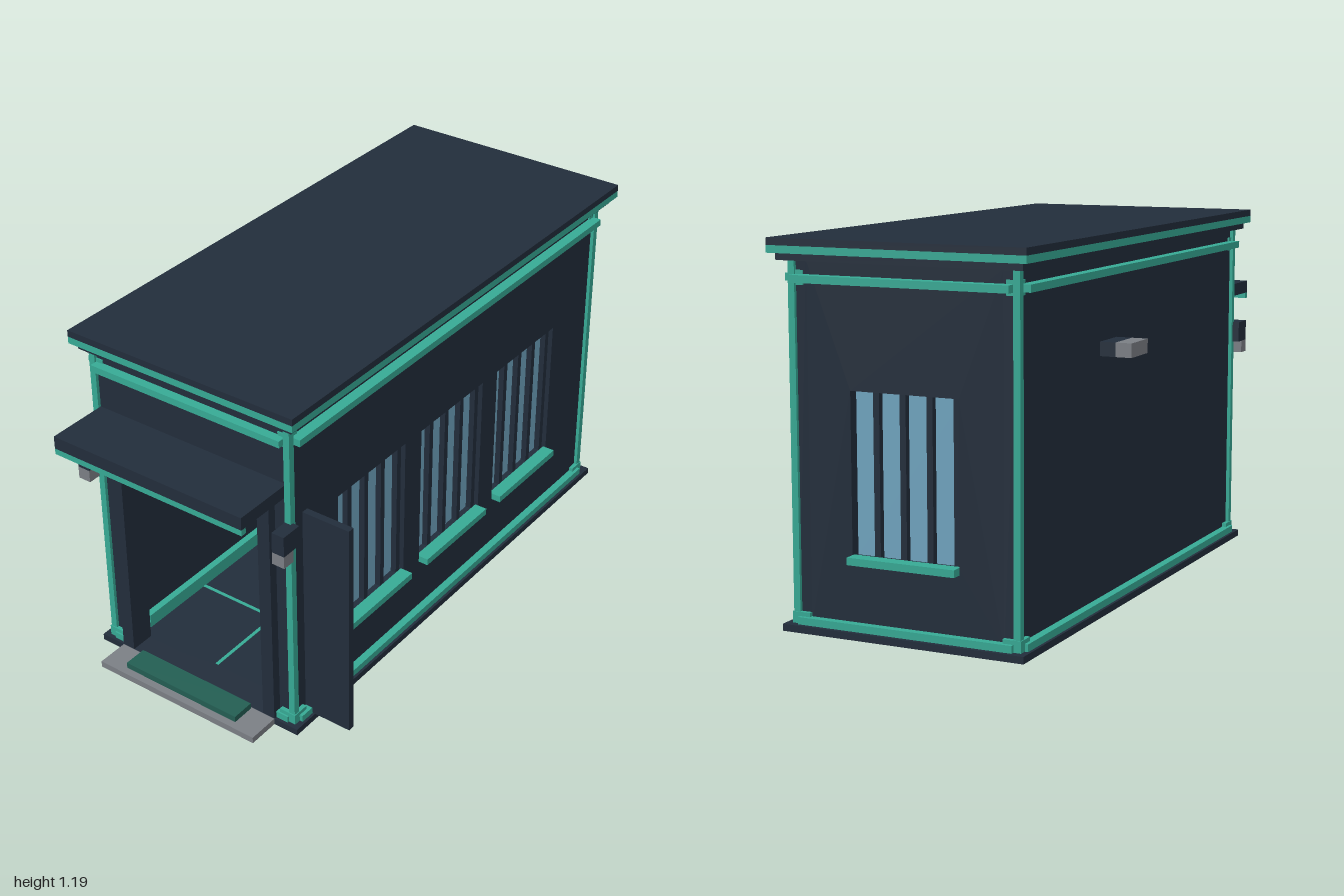
import * as THREE from 'three';

export function createModel() {
  const group = new THREE.Group();
  const mat = (name, color) => {
    const m = new THREE.MeshStandardMaterial({ color });
    m.name = name;
    return m;
  };
  const dark = mat('dark slate', 0x222d3b);
  const teal = mat('teal trim', 0x37aa95);
  const green = mat('mat green', 0x235e53);
  const grey = mat('grey', 0x7b7f85);
  const orange = mat('orange', 0xc87137);
  const blue = mat('window blue', 0x70a5c0);

  // box given by its extents
  const box = (name, m, x0, x1, y0, y1, z0, z1, parent = group) => {
    const mesh = new THREE.Mesh(new THREE.BoxGeometry(x1 - x0, y1 - y0, z1 - z0), m);
    mesh.position.set((x0 + x1) / 2, (y0 + y1) / 2, (z0 + z1) / 2);
    mesh.name = name;
    parent.add(mesh);
    return mesh;
  };
  const CX = -0.035;                       // the building's own centre line
  const WALL = 0.045, Y0 = 0.022, Y1 = 1.125;
  const rect = (path, x0, x1, y0, y1) => {
    path.moveTo(x0, y0);
    path.lineTo(x1, y0);
    path.lineTo(x1, y1);
    path.lineTo(x0, y1);
    path.closePath();
    return path;
  };
  const extrude = (name, shape, depth, parent) => {
    const mesh = new THREE.Mesh(new THREE.ExtrudeGeometry(shape, { depth, bevelEnabled: false }), dark);
    mesh.name = name;
    parent.add(mesh);
    return mesh;
  };

  // wall facing local +z, with barred windows at the given local x centres
  const wall = (name, u0, u1, windows) => {
    const g = new THREE.Group();
    g.name = name;
    const shape = rect(new THREE.Shape(), u0, u1, Y0, Y1);
    for (const c of windows) shape.holes.push(rect(new THREE.Path(), c - 0.18, c + 0.18, 0.245, 0.745));
    extrude('wallPanel', shape, WALL, g).position.z = -WALL;
    for (const c of windows) {
      box('windowPane', blue, c - 0.18, c + 0.18, 0.245, 0.745, -0.042, -0.034, g);
      for (let i = 0; i < 4; i++) {
        const u = c - 0.101 + i * 0.089;
        box('windowBar', dark, u - 0.01, Math.min(u + 0.01, c + 0.18), 0.245, 0.745, -0.034, -0.014, g);
      }
      box('windowSill', teal, c - 0.18, c + 0.18, 0.227, 0.25, -0.01, 0.035, g);
    }
    group.add(g);
    return g;
  };
  const right = wall('rightWall', -0.79, 0.94, [-0.372, 0.078, 0.526]);
  right.rotation.y = Math.PI / 2;
  right.position.x = 0.335;
  const left = wall('leftWall', -0.94, 0.79, []);
  left.rotation.y = -Math.PI / 2;
  left.position.x = -0.405;
  const back = wall('backWall', -0.29, 0.36, [0.035]);
  back.rotation.y = Math.PI;
  back.position.z = -0.94;

  // front wall and door frame: arches open at the bottom
  const arch = (x0, x1, top, i0, i1, iTop) => new THREE.Shape([
    [x0, Y0], [i0, Y0], [i0, iTop], [i1, iTop], [i1, Y0], [x1, Y0], [x1, top], [x0, top],
  ].map(([x, y]) => new THREE.Vector2(x, y)));
  extrude('frontWall', arch(-0.36, 0.29, Y1, -0.34, 0.27, 0.85), WALL, group).position.z = 0.745;
  extrude('doorFrame', arch(-0.35, 0.28, 0.875, -0.305, 0.235, 0.81), 0.085, group).position.z = 0.735;
  box('slidingDoor', dark, 0.237, 0.505, 0.025, 0.79, 0.705, 0.729);

  // base ring
  box('baseSide', dark, 0.32, 0.37, 0, Y0, -0.98, 0.82);
  box('baseSide', dark, -0.44, -0.39, 0, Y0, -0.98, 0.82);
  box('baseEnd', dark, -0.39, 0.32, 0, Y0, -0.98, -0.93);
  box('baseEnd', dark, -0.39, 0.32, 0, Y0, 0.72, 0.82);

  // floor with seams and inner skirting
  box('floor', dark, -0.345, 0.275, 0.008, Y0, -0.875, 0.74);
  box('floorSeam', teal, CX - 0.006, CX + 0.006, 0.006, 0.0235, -0.87, 0.72);
  for (const z of [-0.58, -0.08, 0.42]) {
    box('floorSeam', teal, -0.34, 0.27, 0.006, 0.0235, z - 0.006, z + 0.006);
    box('floorJoint', teal, CX - 0.02, CX + 0.02, 0.005, 0.009, z - 0.02, z + 0.02).rotation.y = Math.PI / 4;
  }
  for (const s of [-1, 1]) {
    box('skirting', teal, CX + s * 0.312 - 0.012, CX + s * 0.312 + 0.012, 0.004, 0.07, -0.89, 0.70);
  }
  box('skirting', teal, -0.345, 0.275, 0.004, 0.07, -0.89, -0.866);

  // corner posts, post feet and post heads
  for (const s of [-1, 1]) {
    for (const [z, d] of [[0.79, 1], [-0.94, -1]]) {
      const x = CX + s * 0.371;
      box('cornerPost', teal, x - 0.011, x + 0.011, Y0, Y1, z - 0.011, z + 0.011);
      const fx = x - s * 0.016, fz = z - d * 0.016;
      box('postFoot', teal, fx - 0.03, fx + 0.03, Y0, 0.058, fz - 0.03, fz + 0.03);
      box('postHead', teal, fx - 0.02, fx + 0.02, 1.05, 1.095, fz - 0.02, fz + 0.02);
    }
    // side trim bands
    const a = CX + s * 0.36;
    for (const [y0, y1, out] of [[1.06, 1.083, 0.405], [Y0, 0.045, 0.396]]) {
      const b = CX + s * out;
      box('sideBand', teal, Math.min(a, b), Math.max(a, b), y0, y1, -0.93, 0.78);
    }
    // front lanterns at the corners
    const lx = CX + s * 0.3825;
    box('lanternHousing', dark, lx - 0.0225, lx + 0.0225, 0.72, 0.79, 0.79, 0.865);
    box('lanternGlass', grey, lx - 0.0225, lx + 0.0225, 0.678, 0.72, 0.82, 0.865);
    // short base bands beside the door
    const bx = CX + s * 0.3375;
    box('frontBaseBand', teal, bx - 0.0225, bx + 0.0225, Y0, 0.045, 0.78, 0.81);
  }
  box('frontBand', teal, -0.395, 0.325, 1.06, 1.083, 0.78, 0.82);
  box('backBand', teal, -0.395, 0.325, 1.06, 1.083, -0.98, -0.93);
  box('backBaseBand', teal, -0.395, 0.325, Y0, 0.045, -0.966, -0.93);

  // roof layers
  box('eave', dark, -0.44, 0.37, 1.125, 1.147, -0.98, 0.82);
  box('roofTrim', teal, -0.46, 0.39, 1.147, 1.17, -1, 0.84);
  box('roof', dark, -0.46, 0.39, 1.17, 1.192, -1, 0.84);

  // entrance canopy, step and doormat
  box('canopy', dark, -0.395, 0.325, 0.877, 0.92, 0.78, 1);
  box('canopyLip', teal, -0.395, 0.325, 0.857, 0.877, 0.98, 1);
  box('step', grey, -0.35, 0.28, 0, Y0, 0.82, 0.93);
  box('doormat', green, -0.26, 0.19, Y0, 0.043, 0.825, 0.905);

  // lamp on the left wall
  box('wallLampArm', dark, -0.457, -0.4, 0.81, 0.855, -0.37, -0.24);
  box('wallLampHead', grey, -0.51, -0.457, 0.81, 0.855, -0.37, -0.24);

  // small cabinet inside the doorway
  box('cabinet', orange, 0.165, 0.25, 0.07, 0.228, 0.3, 0.5);
  box('cabinetFoot', dark, 0.165, 0.188, Y0, 0.07, 0.3, 0.5);
  box('cabinetTop', grey, 0.178, 0.25, 0.228, 0.25, 0.3, 0.5);
  box('cabinetHandle', dark, 0.15, 0.178, 0.228, 0.246, 0.36, 0.44);
  box('cabinetBox', orange, 0.188, 0.25, 0.25, 0.27, 0.32, 0.48);
  return group;
}
